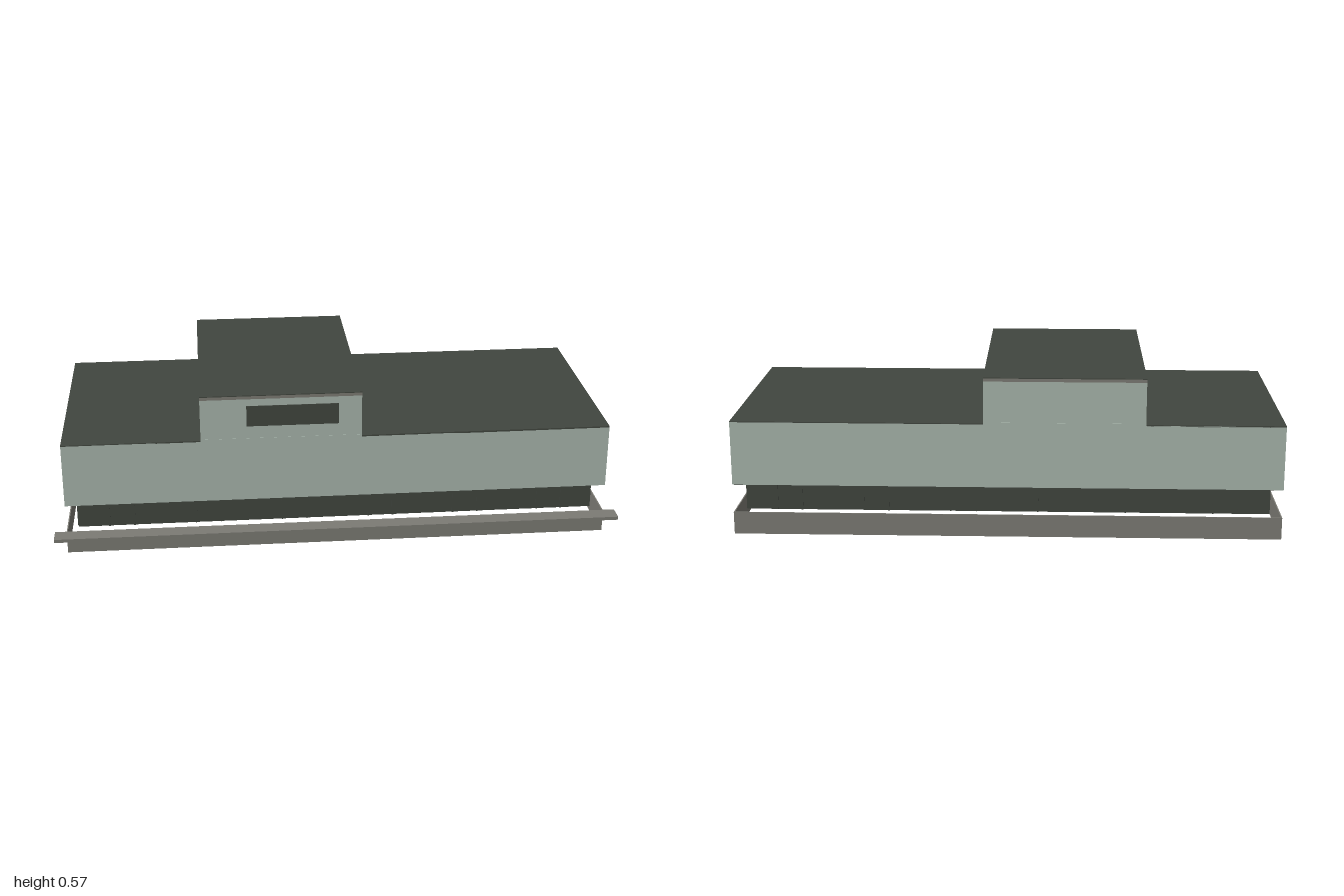
import * as THREE from 'three';

const mat = (name, color) => {
  const m = new THREE.MeshStandardMaterial({ color });
  m.name = name;
  return m;
};

export function createModel() {
  const group = new THREE.Group();
  const cladding = mat('paleGreenCladding', 0xa8b6ac);
  const dark = mat('darkPanel', 0x41463f);
  const stone = mat('greyConcrete', 0x7c7b74);
  const glow = mat('warmWindow', 0xcdb58c);

  const CZ = -0.028; // centre of the building in z

  // Box given by its minimum and maximum corners
  function block(name, material, [x0, y0, z0], [x1, y1, z1], parent = group) {
    const geo = new THREE.BoxGeometry(x1 - x0, y1 - y0, z1 - z0);
    const m = new THREE.Mesh(geo, material);
    m.position.set((x0 + x1) / 2, (y0 + y1) / 2, (z0 + z1) / 2);
    m.name = name;
    parent.add(m);
    return m;
  }

  // Rectangular wall ring, open above and below
  function ring(name, material, halfX, halfZ, thickness, y0, y1) {
    const outline = (hx, hz) => [[-hx, -hz], [hx, -hz], [hx, hz], [-hx, hz]]
      .map(([x, y]) => new THREE.Vector2(x, y));
    const shape = new THREE.Shape(outline(halfX, halfZ));
    shape.holes.push(new THREE.Path(outline(halfX - thickness, halfZ - thickness).reverse()));
    const geo = new THREE.ExtrudeGeometry(shape, { depth: y1 - y0, bevelEnabled: false });
    geo.rotateX(-Math.PI / 2);
    const m = new THREE.Mesh(geo, material);
    m.position.set(0, y0, CZ);
    m.name = name;
    group.add(m);
  }

  // Hollow plinth and the front ledge
  ring('plinth', stone, 0.96, 0.402, 0.004, 0, 0.08);
  block('frontLedge', stone, [-1, 0.07, 0.374], [1, 0.082, 0.434]);

  // Recessed ground storey
  const hx = 0.92, hz = 0.363;
  ring('groundStoreyWall', dark, hx, hz, 0.004, 0.08, 0.182);

  // Overhanging upper storey: soffit, dark lining, pale cladding
  ring('soffit', dark, 0.958, 0.4, 0.04, 0.18, 0.184);
  ring('upperLining', dark, 0.957, 0.399, 0.004, 0.182, 0.408);
  ring('upperCladding', cladding, 0.96, 0.402, 0.003, 0.181, 0.408);
  block('mainRoof', dark, [-0.96, 0.405, CZ - 0.402], [0.96, 0.411, CZ + 0.402]);

  // Raised roof block with its cap and front window
  block('towerWalls', cladding, [-0.48, 0.411, CZ - 0.402], [0.08, 0.56, CZ + 0.402]);
  block('towerCap', stone, [-0.48, 0.56, CZ - 0.402], [0.08, 0.571, CZ + 0.402]);
  block('towerRoof', dark, [-0.48, 0.571, CZ - 0.402], [0.08, 0.574, CZ + 0.402]);
  block('towerWindow', dark, [-0.32, 0.46, CZ + 0.4], [0, 0.535, CZ + 0.404]);
  // Pale strip joining the tower front and back to the facade below
  for (const s of [-1, 1]) {
    const z = CZ + s * 0.402;
    block('towerFacadeJoint', cladding, [-0.48, 0.4, z - 0.001], [0.08, 0.415, z + 0.001]);
  }

  // Six windows per wall: warm pane inside, slim dark mullions outside
  for (let wall = 0; wall < 4; wall++) {
    const long = wall % 2 === 0;
    const length = 2 * (long ? hx : hz), dist = long ? hz : hx;
    const side = new THREE.Group();
    side.name = 'windowWall';
    side.position.z = CZ;
    side.rotation.y = wall * Math.PI / 2;
    group.add(side);
    for (let i = 0; i < 6; i++) {
      const x = ((i + 0.5) / 6 - 0.5) * length;
      block('windowPane', glow, [x - 0.04, 0.09, dist - 0.008], [x + 0.04, 0.172, dist - 0.004], side);
      for (const e of [-0.044, 0.044])
        block('mullion', dark, [x + e - 0.003, 0.08, dist - 0.001], [x + e + 0.003, 0.182, dist + 0.003], side);
    }
  }
  return group;
}
